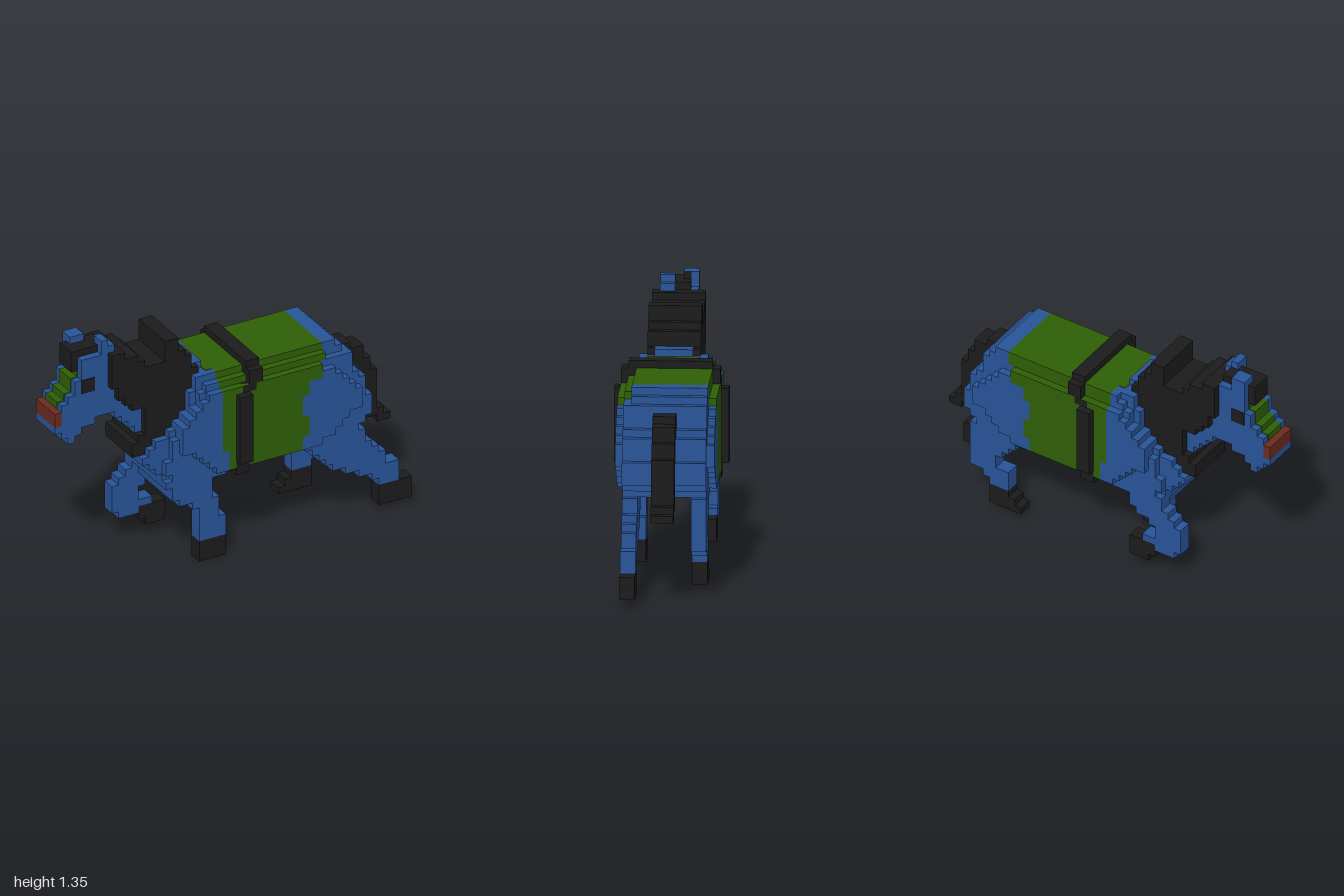
import * as THREE from 'three';

const U = 2 / 52; // one block

const mat = (name, hex) => {
  const m = new THREE.MeshStandardMaterial({ color: hex });
  m.name = name;
  return m;
};

export function createModel() {
  const group = new THREE.Group();
  const blue = mat('blue coat', 0x29559a);
  const black = mat('black', 0x1c1c1c);
  const green = mat('green blanket', 0x2f6006);
  const brown = mat('brown muzzle', 0x6b2b20);

  // Stepped slab: one [x0, x1] run per block row from row y0 up, between z0 and z1 (in blocks)
  function slab(name, material, z0, z1, y0, rows) {
    const right = [], left = [];
    rows.forEach(([a, b], k) => {
      for (const y of [y0 + k, y0 + k + 1]) {
        right.push(new THREE.Vector2((b - 26) * U, y * U));
        left.push(new THREE.Vector2((a - 26) * U, y * U));
      }
    });
    const outline = [...right, ...left.reverse()].filter((p, i, all) => {
      const q = all[(i + all.length - 1) % all.length], n = all[(i + 1) % all.length];
      return Math.abs((p.x - q.x) * (n.y - p.y) - (p.y - q.y) * (n.x - p.x)) > 1e-9;
    });
    const geo = new THREE.ExtrudeGeometry(new THREE.Shape(outline), { depth: (z1 - z0) * U, bevelEnabled: false });
    geo.translate(0, 0, z0 * U);
    const mesh = new THREE.Mesh(geo, material);
    mesh.name = name;
    group.add(mesh);
    return mesh;
  }

  function box(name, material, x0, x1, y0, y1, z0, z1) {
    const geo = new THREE.BoxGeometry((x1 - x0) * U, (y1 - y0) * U, (z1 - z0) * U);
    const mesh = new THREE.Mesh(geo, material);
    mesh.name = name;
    mesh.position.set(((x0 + x1) / 2 - 26) * U, (y0 + y1) / 2 * U, (z0 + z1) / 2 * U);
    group.add(mesh);
  }

  // Body slabs: blue shoulder, green blanket and blue rump, split row by row (rows from 13)
  const gl = [24, 24, 24, 23, 23, 23, 23, 23, 23, 23, 23, 23, 23, 23];
  const gr = [35, 35, 36, 36, 36, 35, 35, 35, 36, 36, 38, 38, 39, 39];
  function bodySlab(z0, z1, rows) {
    slab('shoulder', blue, z0, z1, 13, rows.map(([a], k) => [a, gl[k]]));
    slab('blanket', green, z0, z1, 13, rows.map((r, k) => [gl[k], gr[k]]));
    slab('rump', blue, z0, z1, 13, rows.map(([, b], k) => [gr[k], b]).filter(([a, b]) => b > a));
  }
  const core = [[15, 44], [14, 45], [13, 46], [12, 46], [13, 46], [14, 45], [16, 45],
    [17, 45], [18, 44], [19, 43], [19, 43], [19, 43], [20, 42], [20, 41]];
  const sideStart = [16, 15, 15, 16, 16, 16, 17, 17, 18, 19, 20, 20, 21, 22];
  const side = core.map(([, b], k) => [sideStart[k], b]);
  const flank = [[22, 38], [21, 40], [20, 41], [19, 42], [17, 44], [17, 44], [17, 44],
    [17, 43], [18, 42], [19, 41], [20, 40], [21, 38]];
  bodySlab(-4.5, 4.5, core);
  bodySlab(-5.5, -4.5, side);
  bodySlab(4.5, 5.5, [...side.slice(0, 12), [21, 39]]);
  bodySlab(5.5, 6.5, flank);
  bodySlab(-6.5, -5.5, flank);
  box('blanketFrontEdge', green, 22, 23, 26.95, 27.08, -3.5, 3.5);

  // Underside
  box('chestUnderside', blue, 15, 24, 12, 13, -5.5, 5.5);
  box('breast', blue, 16, 20, 10, 12, -3.5, 3.5);
  box('bellyFront', blue, 24, 28, 12, 13, -3.5, 3.5);
  box('bellyBlanket', green, 28, 30, 12, 13, -3.5, 3.5);

  // Head and neck
  slab('head', blue, -2.5, 2.5, 21, [[2, 3], [1, 4], [0, 6], [1, 14], [1, 14], [1, 14], [2, 14],
    [3, 14], [3, 12], [4, 9], [4, 9], [4, 8]]);
  slab('neck', blue, -2.5, 2.5, 20, [[12, 15], [11, 15], [10, 15], [9, 15]]);
  box('withers', blue, 20, 22, 27, 28, -2.5, 2.5);
  box('muzzle', brown, 0, 1, 24, 26, -2.52, 2.52);
  slab('leftEar', blue, 0.5, 2.5, 33, [[7, 9], [7, 8]]);
  box('rightEar', blue, 4, 6, 33, 35, -2.5, -1.5);
  box('rightEarInner', blue, 4, 6, 34, 35, -1.5, -0.5);
  box('rightEarBack', black, 5.95, 6.1, 34, 35, -1.5, -0.5);
  const blaze = slab('faceBlaze', green, -1.5, 1.5, 26, [[1, 3], [2, 4], [3, 5], [3, 5], [4, 6]]);
  blaze.position.set(-0.004, 0.004, 0);
  for (const s of [1, -1]) box('eye', black, 4, 6, 28, 30, s * 2.5 - 0.1, s * 2.5 + 0.1);

  // Forelock, mane and tail
  slab('forelock', black, -1.5, 1.5, 31, [[3, 4], [3, 4], [3, 7]]);
  box('forelockBack', black, 7, 8, 33, 34, -1.5, 0.5);
  slab('mane', black, -3.5, 3.5, 17, [[11, 14], [11, 15], [12, 17], [13, 18], [13, 18], [13, 19],
    [13, 19], [11, 19], [10, 20], [9, 20], [9, 21], [8, 20], [8, 20]]);
  slab('maneTop', black, -3.5, 3.5, 30, [[8, 13], [8, 12], [8, 10]]);
  slab('maneCrest', black, -3.5, 3.5, 30, [[16, 19], [16, 18], [16, 18]]);
  slab('tail', black, -1.5, 1.5, 11, [[49, 51], [46, 50], [46, 49], [46, 49], [46, 49], [46, 49],
    [46, 49], [45, 49], [45, 48], [45, 48], [44, 47], [43, 47], [43, 45]]);

  // Girth strap
  for (const s of [1, -1]) {
    const strap = (name, x0, y0, y1, a, b) =>
      box(name, black, x0, x0 + 2, y0, y1, Math.min(s * a, s * b), Math.max(s * a, s * b));
    strap('strapSide', 25, 14, 24, 6.4, 7.5);
    strap('strapLower', 25, 12, 14, 5.5, 6.52);
    strap('strapBend', 26, 24, 25, 5.4, 6.52);
    strap('strapUpper', 27, 25, 27, 4.4, 6.5);
  }
  box('strapTop', black, 27, 29, 27, 28, -5.5, 5.5);
  box('strapBelly', black, 25, 27, 11.95, 13, -5.5, 5.5);

  // Legs and hooves
  slab('leftFrontLeg', blue, 3.5, 5.5, 3, [[20, 24], [20, 24], [20, 24], [20, 23], [20, 23],
    [19, 23], [17, 22], [16, 22], [16, 22]]);
  box('leftFrontHoof', black, 20, 24, 0, 3, 3.5, 5.5);
  slab('rightFrontLeg', blue, -5.5, -3.5, 4, [[13, 16], [12, 18], [12, 16], [12, 16], [12, 17],
    [13, 19], [14, 20], [15, 20]]);
  slab('rightFrontHoof', black, -5.5, -3.5, 2, [[17, 20], [16, 20], [16, 20]]);
  slab('leftHindLeg', blue, 3.5, 5.5, 4, [[47, 50], [46, 50], [44, 50], [42, 48], [40, 48],
    [39, 47], [38, 46], [37, 45], [36, 45]]);
  box('leftHindHoof', black, 47, 52, 1, 4, 3.5, 5.5);
  slab('rightHindLeg', blue, -5.5, -3.5, 4, [[39, 42], [39, 43], [39, 45], [41, 45], [41, 45],
    [40, 45], [39, 45], [38, 45], [36, 45]]);
  slab('rightHindHoof', black, -5.5, -3.5, 1, [[37, 42], [38, 42], [39, 42]]);

  return group;
}
